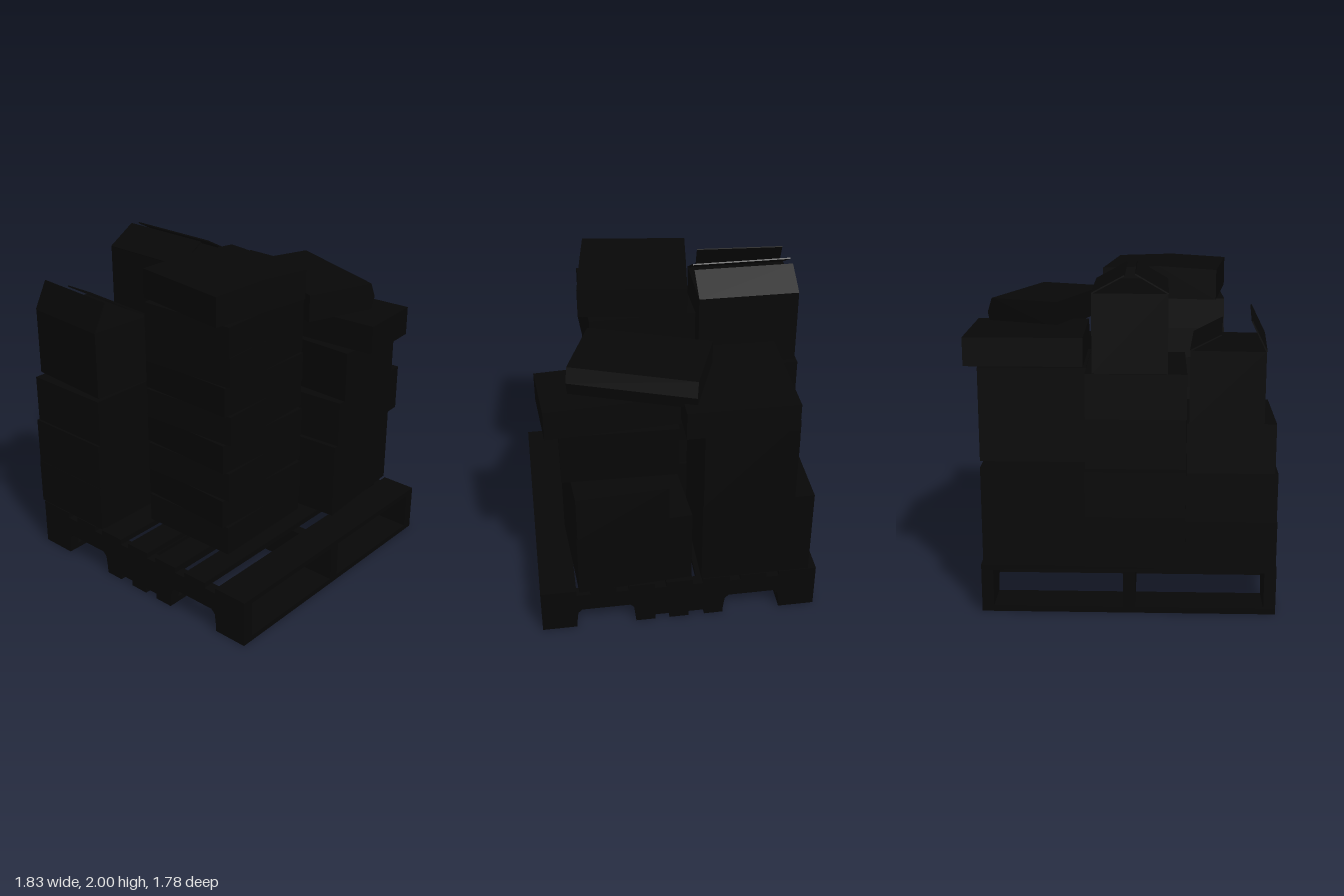
import * as THREE from 'three';

const material = new THREE.MeshStandardMaterial({ color: 0x070707, side: THREE.DoubleSide });

function addMesh(parent, name, geometry) {
  const mesh = new THREE.Mesh(geometry, material);
  mesh.name = name;
  parent.add(mesh);
  return mesh;
}

// Box given by its limits along each axis
function block(parent, name, [x0, x1], [y0, y1], [z0, z1], turn = 0) {
  const mesh = addMesh(parent, name, new THREE.BoxGeometry(x1 - x0, y1 - y0, z1 - z0));
  mesh.position.set((x0 + x1) / 2, (y0 + y1) / 2, (z0 + z1) / 2);
  mesh.rotation.y = turn;
  return mesh;
}

// Outline in x and y, extruded along z and centred on it
function prism(parent, name, points, depth) {
  const shape = new THREE.Shape(points.map(([x, y]) => new THREE.Vector2(x, y)));
  const geometry = new THREE.ExtrudeGeometry(shape, { depth, bevelEnabled: false });
  return addMesh(parent, name, geometry.translate(0, 0, -depth / 2));
}

// Carton with two long flaps leaning inwards; each flap is [rise, inset]
function openCarton(parent, w, h, d, rightFlap, leftFlap) {
  const carton = new THREE.Group();
  carton.name = 'openCarton';
  const t = 0.008;
  block(carton, 'cartonBody', [-w / 2, w / 2], [0, h], [-d / 2, d / 2]);
  [[-1, rightFlap], [1, leftFlap]].forEach(([s, [rise, inset]]) => {
    const flap = addMesh(carton, 'flap', new THREE.BoxGeometry(t, Math.hypot(rise, inset), d));
    flap.position.set(s * (w - inset) / 2, h + rise / 2, 0);
    flap.rotation.z = s * Math.atan2(inset, rise);
  });
  parent.add(carton);
  return carton;
}

function createPallet() {
  const pallet = new THREE.Group();
  pallet.name = 'pallet';
  const width = [-0.92, 0.81];
  const top = [[0.675, 0.895], [0.43, 0.59], [0.19, 0.355], [-0.045, 0.12],
    [-0.28, -0.11], [-0.51, -0.345], [-0.825, -0.59]];
  const bottom = [[0.68, 0.895], [0.19, 0.31], [-0.02, 0.10], [-0.24, -0.12], [-0.825, -0.6]];
  top.forEach(z => block(pallet, 'topBoard', width, [0.26, 0.295], z));
  bottom.forEach(z => block(pallet, 'bottomBoard', width, [0, 0.035], z));

  // Outer stringers carry two notches each, the middle one is plain
  const notches = [[-0.6, -0.24], [0.31, 0.68]].flatMap(([a, b]) => [
    [a, 0.035], [a + 0.01, 0.115], [a + 0.035, 0.14],
    [b - 0.035, 0.14], [b - 0.01, 0.115], [b, 0.035]]);
  const outline = [[-0.825, 0.035], ...notches, [0.895, 0.035], [0.895, 0.26], [-0.825, 0.26]];
  for (const x of [-0.885, 0.775]) {
    const stringer = prism(pallet, 'outerStringer', outline, 0.07);
    stringer.rotation.y = -Math.PI / 2;
    stringer.position.x = x;
  }
  block(pallet, 'middleStringer', [-0.095, -0.025], [0.035, 0.26], [-0.825, 0.895]);
  return pallet;
}

function createStack(parent, name) {
  const stack = new THREE.Group();
  stack.name = name;
  parent.add(stack);
  return stack;
}

export function createModel() {
  const model = new THREE.Group();
  model.name = 'loadedPallet';
  model.add(createPallet());

  // Front column of flat cartons, each turned a little differently
  const flat = createStack(model, 'flatCartonStack');
  const turns = [0.02, -0.05, 0.03, -0.04, 0.05, -0.02, 0.04, 0.03];
  const step = 0.184;
  turns.forEach((turn, i) => {
    const y = 0.295 + i * step;
    block(flat, 'flatCarton', [-0.61, 0.09], [y, y + step], [-0.15, 0.49], turn);
  });
  // Top carton with a slightly raised lid
  const topCarton = prism(flat, 'topCarton',
    [[-0.345, 0], [0.345, 0], [0.345, 0.18], [0, 0.196], [-0.345, 0.18]], 0.65);
  topCarton.position.set(-0.265, 1.767, 0.173);
  topCarton.rotation.y = -0.13;

  // Front column of mixed cartons
  const mixed = createStack(model, 'mixedCartonStack');
  block(mixed, 'largeCarton', [0.145, 0.8], [0.295, 0.785], [-0.02, 0.68], 0.07);
  block(mixed, 'wideCarton', [0.18, 0.895], [0.785, 1.08], [0.135, 0.68], 0.07);
  block(mixed, 'narrowCarton', [0.25, 0.74], [1.08, 1.4], [0.03, 0.715], -0.02);
  block(mixed, 'longCarton', [0.3, 0.72], [1.4, 1.58], [0.02, 0.815], 0.07);
  // Turned carton with one bulging side
  const turned = prism(mixed, 'turnedCarton',
    [[-0.23, 0], [0.225, 0], [0.245, 0.08], [0.215, 0.17], [-0.23, 0.17]], 0.75);
  turned.position.set(0.485, 1.58, 0.22);
  turned.rotation.y = -0.35;

  // Back column on the left
  const backLeft = createStack(model, 'backLeftStack');
  block(backLeft, 'carton', [0.195, 0.805], [0.295, 0.585], [-0.775, -0.1]);
  block(backLeft, 'carton', [0.195, 0.805], [0.585, 0.875], [-0.775, -0.1]);
  block(backLeft, 'tallCarton', [0.195, 0.825], [0.875, 1.44], [-0.65, -0.1]);
  block(backLeft, 'topCarton', [0.215, 0.912], [1.44, 1.61], [-0.62, 0.02]);

  // Back column in the middle, topped by an open carton
  const backMiddle = createStack(model, 'backMiddleStack');
  const levels = [0.295, 0.6, 0.875, 1.17, 1.435];
  for (let i = 0; i < 4; i++) {
    const back = i < 2 ? -0.84 : -0.78;
    block(backMiddle, 'carton', [-0.385, 0.195], [levels[i], levels[i + 1]], [back, -0.16]);
  }
  openCarton(backMiddle, 0.43, 0.455, 0.6, [0.108, 0.185], [0.1, 0.185])
    .position.set(-0.06, 1.435, -0.47);

  // Back column on the right, topped by a turned open carton
  const backRight = createStack(model, 'backRightStack');
  block(backRight, 'carton', [-0.912, -0.385], [0.295, 0.585], [-0.85, -0.285]);
  block(backRight, 'carton', [-0.908, -0.385], [0.585, 0.877], [-0.85, -0.285]);
  block(backRight, 'carton', [-0.89, -0.385], [0.877, 1.17], [-0.85, -0.285]);
  const open = openCarton(backRight, 0.42, 0.42, 0.57, [0.17, 0.085], [0.09, 0.17]);
  open.position.set(-0.625, 1.17, -0.59);
  open.rotation.y = -0.065;

  return model;
}
